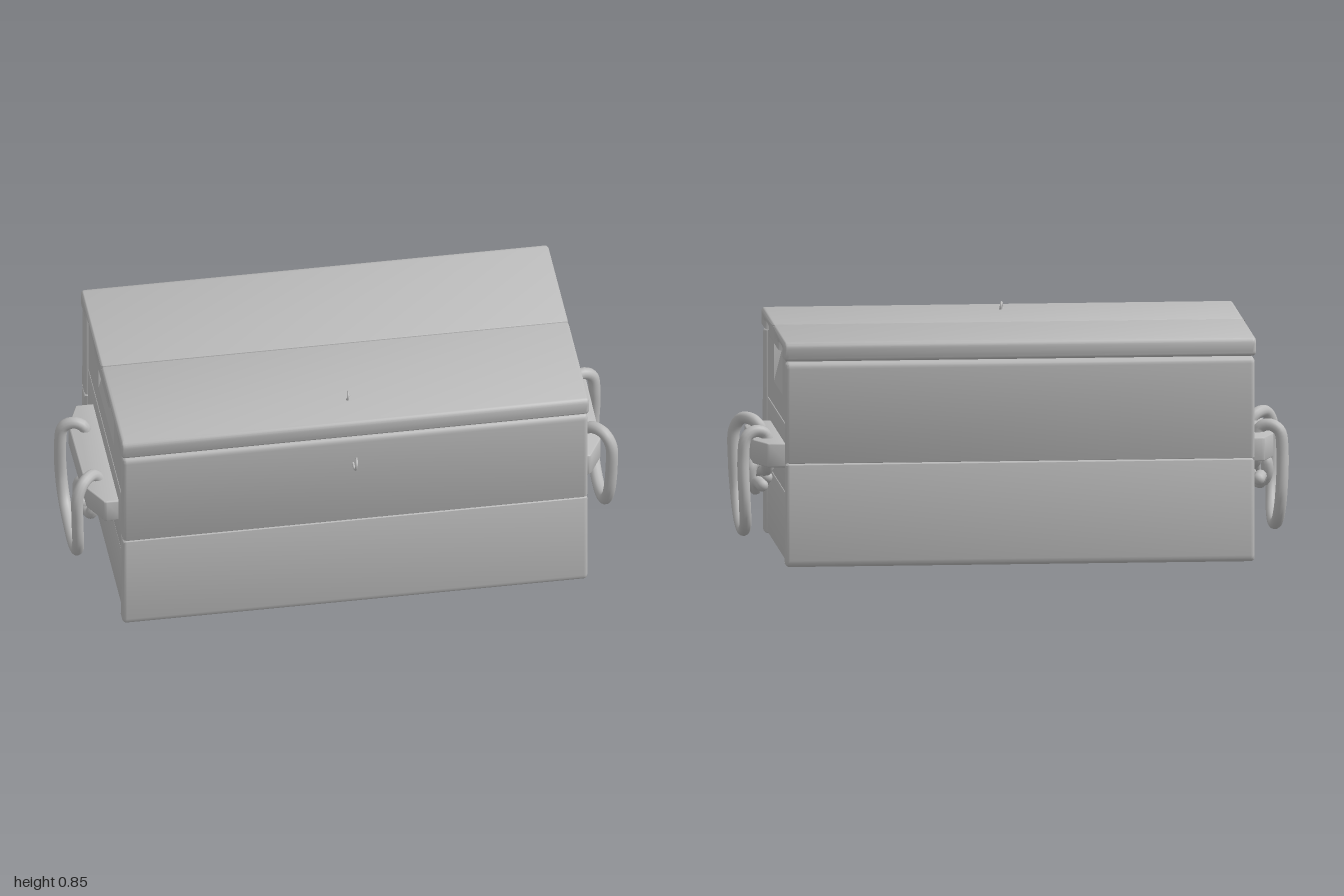
import * as THREE from 'three';
import { toCreasedNormals } from 'three/addons/utils/BufferGeometryUtils.js';

// Closed shape from [x, y, cornerRadius] points
function roundedShape(points) {
  const shape = new THREE.Shape();
  const n = points.length;
  points.forEach(([x, y, r = 0], i) => {
    const corner = new THREE.Vector2(x, y);
    const toward = ([px, py]) =>
      new THREE.Vector2(px, py).sub(corner).setLength(r).add(corner);
    const a = toward(points[(i + n - 1) % n]);
    const b = toward(points[(i + 1) % n]);
    if (i === 0) shape.moveTo(a.x, a.y);
    else shape.lineTo(a.x, a.y);
    if (r > 0) shape.quadraticCurveTo(x, y, b.x, b.y);
  });
  shape.closePath();
  return shape;
}

// Extrusion centred on its depth, with rounded ends that stay inside the outline
function slab(points, depth, bevel) {
  const geo = new THREE.ExtrudeGeometry(roundedShape(points), {
    depth: depth - 2 * bevel,
    bevelEnabled: bevel > 0,
    bevelSize: bevel,
    bevelThickness: bevel,
    bevelOffset: -bevel,
    bevelSegments: 4,
    curveSegments: 5,
  });
  geo.translate(0, 0, -(depth - 2 * bevel) / 2);
  return geo;
}

// Profile given in (z, y), extruded along x
const alongX = (points, depth, bevel) =>
  toCreasedNormals(slab(points, depth, bevel).rotateY(-Math.PI / 2), 0.6);

export function createModel() {
  const model = new THREE.Group();
  model.name = 'chest';
  const grey = new THREE.MeshStandardMaterial({ color: 0xbababa });
  grey.name = 'plain grey';

  function add(parent, name, geo, x = 0, y = 0, z = 0) {
    const mesh = new THREE.Mesh(geo, grey);
    mesh.name = name;
    mesh.position.set(x, y, z);
    parent.add(mesh);
    return mesh;
  }

  // Front and back walls, two boards each
  for (const [name, inner, outer] of [['front', 0.393, 0.452], ['back', -0.433, -0.492]]) {
    add(model, name + 'LowerBoard', alongX(
      [[inner, 0, 0.008], [outer, 0, 0.025], [outer, 0.375, 0.003], [inner, 0.375]], 1.7, 0.015));
    add(model, name + 'UpperBoard', alongX(
      [[inner, 0.379], [outer, 0.379, 0.003], [outer, 0.746, 0.022], [inner, 0.746, 0.008]], 1.7, 0.015));
  }

  // Bottom panel, set slightly up inside the walls
  add(model, 'bottomPanel', new THREE.BoxGeometry(1.62, 0.04, 0.83), 0, 0.032, -0.02);

  // Lid halves, notched underneath for the tabs of the end walls
  add(model, 'lidFront', alongX([
    [-0.017, 0.75], [0.15, 0.75], [0.15, 0.785, 0.006], [0.35, 0.785, 0.006], [0.35, 0.75],
    [0.455, 0.75, 0.02], [0.455, 0.82, 0.025], [-0.017, 0.82, 0.003],
  ], 1.71, 0.014));
  add(model, 'lidBack', alongX([
    [-0.021, 0.75], [-0.195, 0.75], [-0.195, 0.785, 0.006], [-0.39, 0.785, 0.006], [-0.39, 0.75],
    [-0.494, 0.75, 0.02], [-0.494, 0.82, 0.025], [-0.021, 0.82, 0.003],
  ], 1.71, 0.014));

  for (const s of [1, -1]) {
    const end = new THREE.Group();
    end.name = s > 0 ? 'leftEnd' : 'rightEnd';
    model.add(end);

    // End wall boards
    for (const [name, y0, y1] of [['endLowerBoard', 0.005, 0.249], ['endMiddleBoard', 0.252, 0.498]]) {
      add(end, name, alongX([[-0.43, y0], [0.39, y0], [0.39, y1], [-0.43, y1]], 0.06, 0.003), s * 0.807);
    }
    // Top board with two tabs reaching into the lid
    add(end, 'endUpperBoard', alongX([
      [-0.43, 0.501], [0.39, 0.501], [0.39, 0.746], [0.345, 0.746], [0.345, 0.78, 0.008],
      [0.155, 0.78, 0.008], [0.155, 0.588], [-0.198, 0.588], [-0.198, 0.78, 0.008],
      [-0.385, 0.78, 0.008], [-0.385, 0.746], [-0.43, 0.746],
    ], 0.06, 0), s * 0.805);
    // Sloping finger recess under the lid
    add(end, 'fingerRecess', slab(
      [[s * 0.775, 0.588], [s * 0.835, 0.588], [s * 0.795, 0.75], [s * 0.775, 0.75]], 0.353, 0),
      0, 0, -0.0215);

    // Handle block, drawn in (x, -z) and extruded upward
    const block = slab([
      [s * 0.82, -0.275], [s * 0.888, -0.275, 0.008], [s * 0.94, -0.18, 0.01],
      [s * 0.945, 0.2, 0.01], [s * 0.9, 0.315, 0.008], [s * 0.82, 0.315],
    ], 0.088, 0.007).rotateX(-Math.PI / 2);
    add(end, 'handleBlock', toCreasedNormals(block, 0.6), 0, 0.385, 0);

    // Rope: tail and knot, up through the block, round the loop and back to the knot
    const path = [
      [0.9, 0.245, -0.095], [0.912, 0.25, -0.04], [0.915, 0.217, 0.02], [0.905, 0.222, 0.06],
      [0.9, 0.255, 0.075], [0.895, 0.28, 0.045], [0.885, 0.288, 0], [0.882, 0.3, -0.07],
      [0.885, 0.325, -0.14], [0.887, 0.38, -0.168], [0.895, 0.442, -0.168], [0.93, 0.456, -0.178],
      [0.966, 0.435, -0.187], [0.977, 0.36, -0.19], [0.972, 0.2, -0.193], [0.966, 0.12, -0.155],
      [0.963, 0.082, -0.07], [0.963, 0.074, 0.02], [0.965, 0.105, 0.115], [0.97, 0.185, 0.18],
      [0.976, 0.3, 0.2], [0.974, 0.41, 0.2], [0.95, 0.452, 0.178], [0.91, 0.45, 0.135],
      [0.886, 0.42, 0.122], [0.884, 0.355, 0.142], [0.884, 0.318, 0.11], [0.888, 0.303, 0.05],
      [0.912, 0.318, 0], [0.932, 0.305, -0.024], [0.936, 0.255, -0.018], [0.922, 0.225, 0.008],
      [0.89, 0.235, 0.03], [0.875, 0.26, 0.01],
    ].map(([x, y, z]) => new THREE.Vector3(s * x, y, z));
    add(end, 'ropeHandle', new THREE.TubeGeometry(
      new THREE.CatmullRomCurve3(path), 180, 0.022, 12, false));
    for (const p of [path[0], path[path.length - 1]]) {
      add(end, 'ropeEnd', new THREE.SphereGeometry(0.022, 12, 8), p.x, p.y, p.z);
    }
  }

  // Small wire eyes on the lid and the front, open where they enter the wood
  function eye(name, r, y, z, tilt) {
    const points = [];
    for (let i = 0; i <= 10; i++) {
      const a = -1.05 + (i / 10) * (Math.PI + 2.1);
      points.push(new THREE.Vector3(0.006 * (i / 5 - 1), r * Math.sin(a), r * Math.cos(a)));
    }
    points.unshift(new THREE.Vector3(-0.006, -r * 1.7, r * 0.45));
    points.push(new THREE.Vector3(0.006, -r * 1.7, -r * 0.45));
    const wire = new THREE.TubeGeometry(new THREE.CatmullRomCurve3(points), 32, 0.0045, 8, false);
    add(model, name, wire, -0.003, y, z).rotation.x = tilt;
  }
  eye('lidEye', 0.015, 0.829, 0.305, 0);
  eye('frontEye', 0.02, 0.645, 0.473, Math.PI / 2);

  return model;
}
